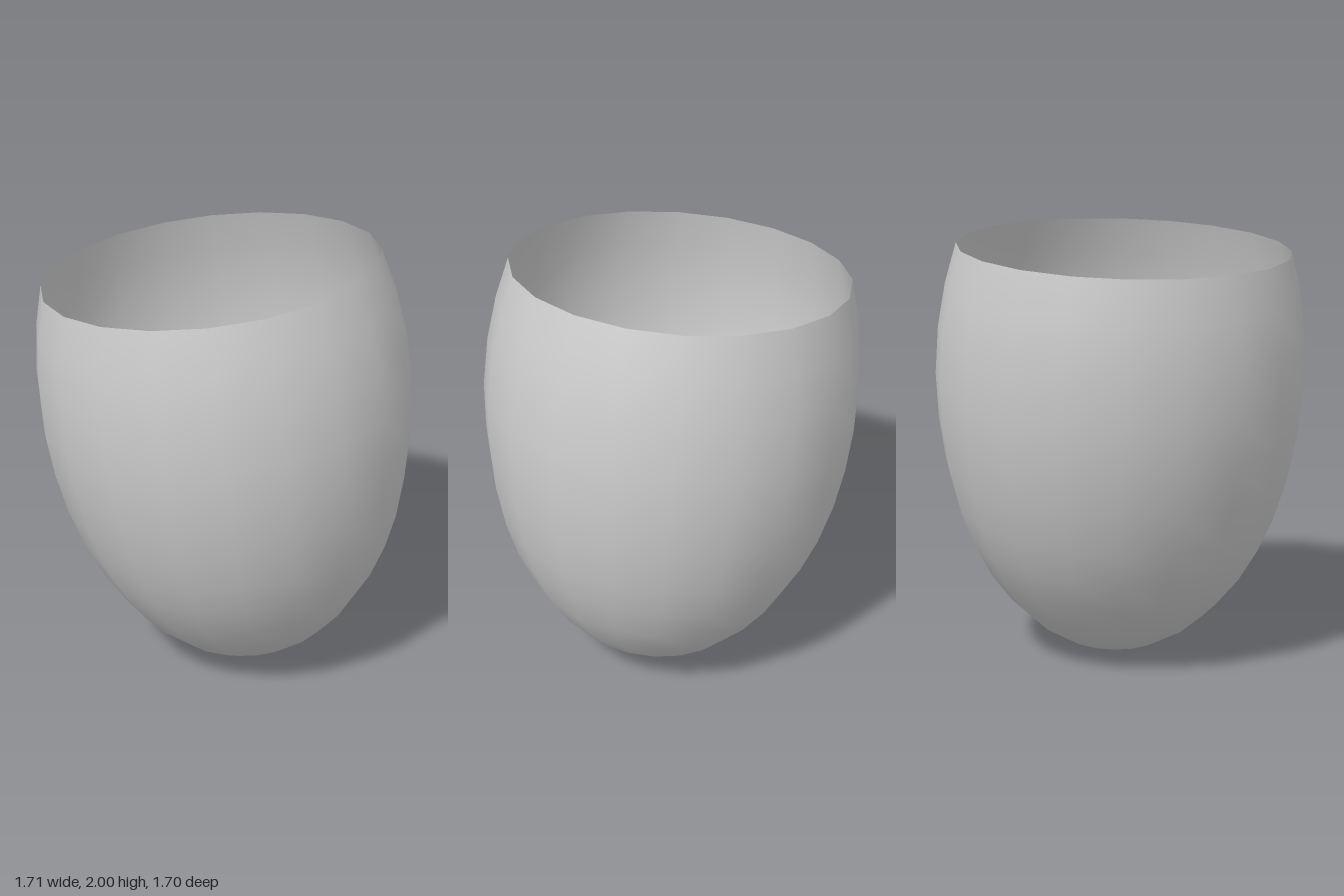
import * as THREE from 'three';

export function createModel() {
  const group = new THREE.Group();

  // Egg-shaped profile from the bottom pole to the open rim: radius, height
  const profile = [
    [0, 0], [0.132, 0.016], [0.263, 0.066], [0.384, 0.145], [0.504, 0.262],
    [0.605, 0.398], [0.688, 0.555], [0.752, 0.719], [0.804, 0.914], [0.836, 1.112],
    [0.85, 1.315], [0.839, 1.537], [0.807, 1.74], [0.758, 1.926],
  ].map(([r, h]) => new THREE.Vector2(r, h));

  // Thin open shell with 20 sides, seen from inside and outside
  const shell = new THREE.Mesh(
    new THREE.LatheGeometry(profile, 20, THREE.MathUtils.degToRad(4)),
    new THREE.MeshStandardMaterial({ color: 0xcccccc, side: THREE.DoubleSide })
  );
  shell.name = 'eggShell';

  // The shell leans slightly to one side
  shell.rotation.z = THREE.MathUtils.degToRad(6.47);
  shell.position.set(0.146, 0, 0);
  group.add(shell);

  return group;
}
